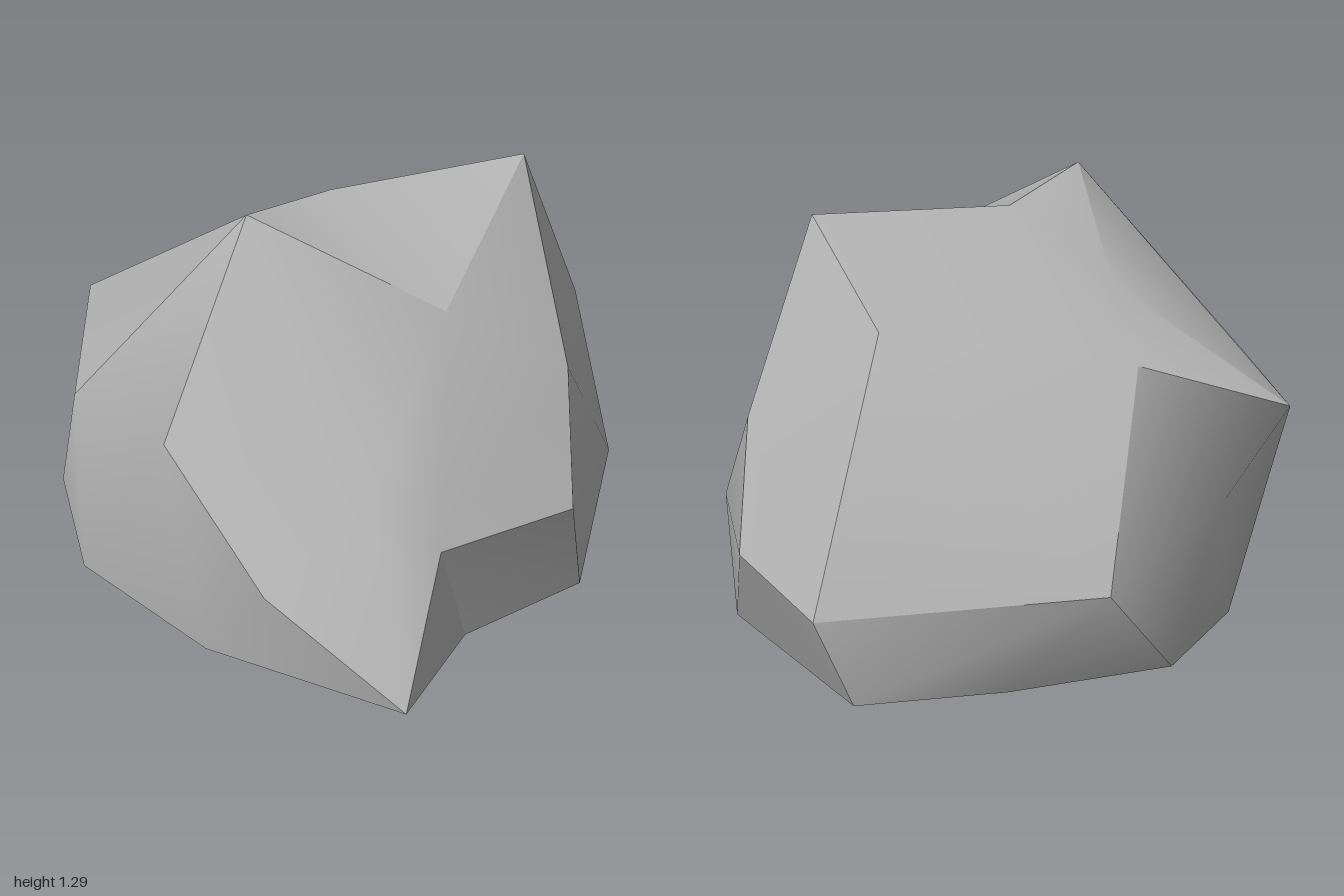
import * as THREE from 'three';

// Corners of the boulder
const V = {
  peak: [-0.32, 1.29, 0.25], saddle: [-0.03, 1.24, -0.04], crown: [0.6, 1.28, -0.16], dent: [0.26, 1.0, 0.38],
  backTop: [0.48, 1.05, -0.62], topLeft: [-0.3, 1.04, -0.27],
  cheek: [-0.6, 0.66, 0.47], jaw: [-0.34, 0.3, 0.79], belly: [0, 0.57, 0.7], toe: [0.05, 0, 1],
  notchA: [0.19, 0.39, 0.75], notchB: [0.64, 0.38, 0.53], notchC: [0.3, 0, 0.6], notchD: [0.72, 0, 0.35],
  brow: [0.66, 0.75, 0.3], flank: [0.87, 0.32, 0.06], sideHigh: [0.83, 0.72, -0.33], sideLow: [0.89, 0.36, -0.52],
  sideFoot: [0.87, 0, -0.16], rearEdge: [0.72, 0.27, -0.84], rearTip: [-0.11, 0.34, -1],
  footA: [0.61, 0, -0.85], footB: [0.155, 0, -0.86], footC: [-0.357, 0, -0.8], footD: [-0.64, 0, -0.47],
  footE: [-0.85, 0.045, 0.1], footF: [-0.5, 0, 0.57],
  hollow: [-0.28, 0.9, -0.64], shelf: [-0.77, 0.72, -0.59], pit: [-0.55, 0.47, -0.67],
  shoulder: [-0.85, 0.66, 0.1], hip: [-0.9, 0.28, -0.06], base: [0, 0, -0.1],
};

// Each facet is smooth inside and sharp along its border
const FACETS = {
  topFacet: ['peak topLeft saddle', 'topLeft shelf hollow', 'topLeft hollow saddle', 'saddle hollow backTop',
    'saddle backTop crown', 'hollow rearTip backTop', 'backTop rearTip rearEdge'],
  slantFacet: ['peak topLeft shelf', 'peak shelf shoulder'],
  dentFacet: ['peak dent saddle', 'saddle dent crown'],
  frontFacet: ['peak cheek belly', 'cheek jaw belly', 'jaw toe belly', 'toe notchA belly', 'notchA notchB brow',
    'notchA brow dent', 'notchA dent belly', 'belly dent peak', 'dent brow crown'],
  frontCornerFacet: ['peak cheek shoulder', 'shoulder hip footE', 'shoulder footE cheek', 'cheek footE footF',
    'cheek footF jaw', 'jaw footF toe'],
  notchSide: ['notchA toe notchC'],
  notchWall: ['notchA notchC notchD', 'notchA notchD notchB'],
  sideFacet: ['crown brow sideHigh', 'brow notchB notchD', 'brow notchD flank', 'flank notchD sideFoot',
    'flank sideFoot sideLow', 'flank sideLow sideHigh', 'brow flank sideHigh'],
  rearSideFacet: ['crown sideHigh backTop', 'sideHigh rearEdge backTop', 'sideHigh sideLow rearEdge'],
  rearCornerFacet: ['sideLow rearEdge footA', 'sideLow footA sideFoot'],
  rearLowFacet: ['rearTip rearEdge footA', 'rearTip footA footB', 'rearTip footB footC'],
  rearHollow: ['hollow shelf pit', 'hollow pit rearTip', 'rearTip pit footC', 'shelf hip pit', 'pit hip footD',
    'pit footD footC', 'hip footE footD'],
  smallFacet: ['shoulder hip shelf'],
};

// Underside as a fan around its middle
const ring = ['toe', 'notchC', 'notchD', 'sideFoot', 'footA', 'footB', 'footC', 'footD', 'footE', 'footF'];
FACETS.underside = ring.map((n, i) => `base ${n} ${ring[(i + 1) % ring.length]}`);

const CORE = new THREE.Vector3(0, 0.5, 0);

function facetGeometry(triangles) {
  const names = [];
  const index = [];
  for (const t of triangles) {
    const tri = t.split(' ');
    const [a, b, c] = tri.map((n) => new THREE.Vector3(...V[n]));
    // Turn every triangle away from the core
    const normal = b.clone().sub(a).cross(c.clone().sub(a));
    const middle = a.clone().add(b).add(c).divideScalar(3).sub(CORE);
    if (normal.dot(middle) < 0) tri.reverse();
    for (const n of tri) {
      if (!names.includes(n)) names.push(n);
      index.push(names.indexOf(n));
    }
  }
  const g = new THREE.BufferGeometry();
  g.setAttribute('position', new THREE.Float32BufferAttribute(names.flatMap((n) => V[n]), 3));
  g.setIndex(index);
  g.computeVertexNormals();
  return g;
}

export function createModel() {
  const group = new THREE.Group();
  group.name = 'boulder';
  const stone = new THREE.MeshStandardMaterial({ color: 0xb4b4b4 });
  stone.name = 'grey stone';
  for (const [name, triangles] of Object.entries(FACETS)) {
    const mesh = new THREE.Mesh(facetGeometry(triangles), stone);
    mesh.name = name;
    group.add(mesh);
  }
  return group;
}
